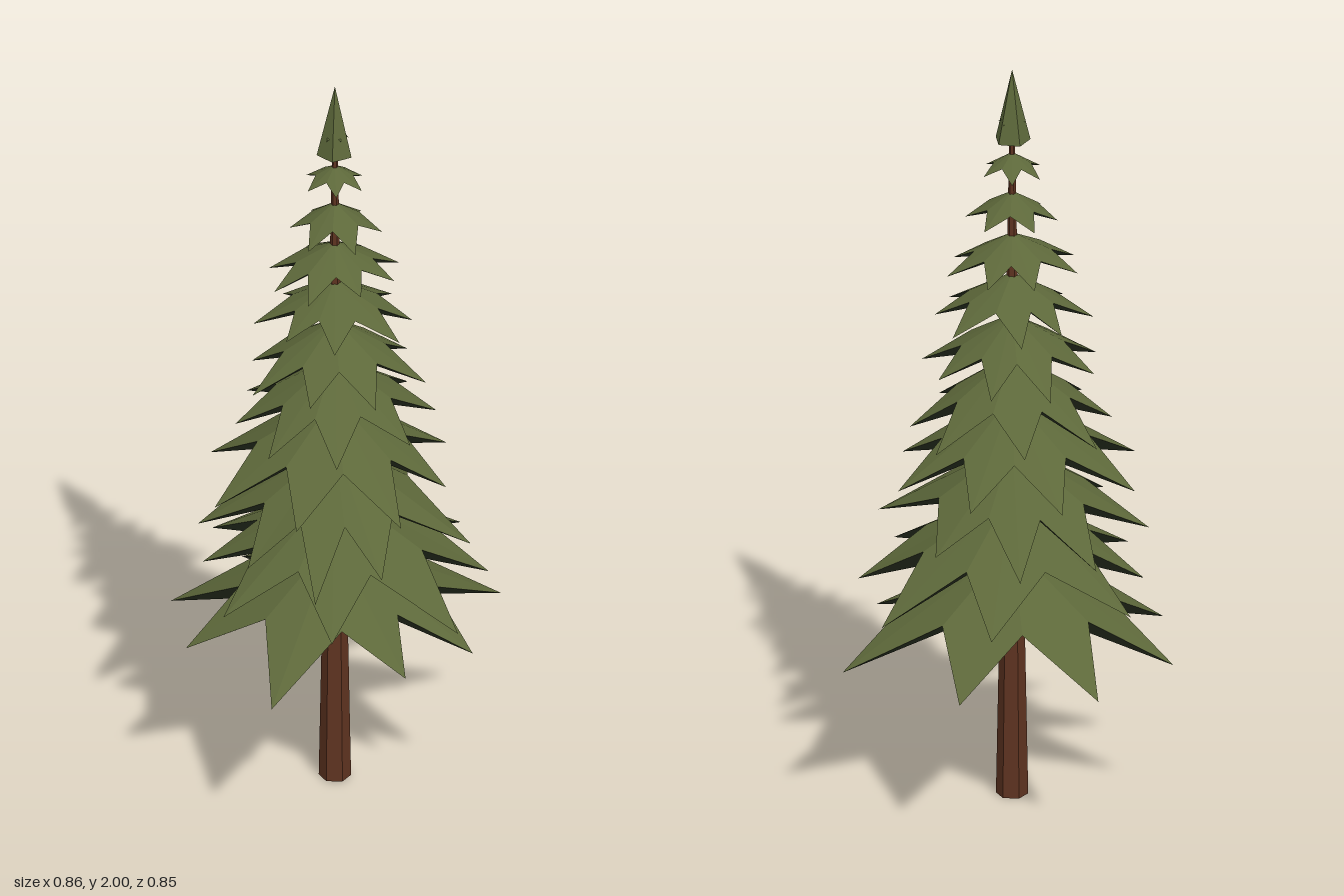
import * as THREE from 'three';

const AXIS = [-0.037, 0.019];

const makeMaterial = (name, color) => {
  const material = new THREE.MeshStandardMaterial({ color, flatShading: true });
  material.name = name;
  return material;
};
const needleGreen = makeMaterial('needleGreen', 0x5d683a);
const shadeGreen = makeMaterial('shadeGreen', 0x2a3222);
const barkBrown = makeMaterial('barkBrown', 0x5e3320);

// Small seeded generator for uneven branch tips
let seed = 11;
const jitter = (amount) => {
  seed = (seed * 16807) % 2147483647;
  return (seed / 2147483647 - 0.5) * 2 * amount;
};

// Tiers from the bottom up: apex height, tip height, tips as [degrees from +x towards +z, reach]
const lowerTiers = [
  { apex: 0.69, tip: 0.43, tips: [[2, 0.468], [53, 0.386], [88, 0.36], [139, 0.444], [189, 0.399], [227, 0.44], [266, 0.446], [313, 0.44]] },
  { apex: 0.84, tip: 0.588, tips: [[27, 0.39], [71, 0.428], [119, 0.38], [167, 0.374], [211, 0.335], [244, 0.385], [303, 0.394], [346, 0.427]] },
  { apex: 0.965, tip: 0.735, tips: [[45, 0.36], [97, 0.335], [125, 0.4], [159, 0.335], [206, 0.347], [258, 0.352], [292, 0.355], [335, 0.304]] },
  { apex: 1.1, tip: 0.885, tips: [[2, 0.315], [48, 0.3], [88, 0.338], [135, 0.33], [178, 0.352], [225, 0.33], [271, 0.31], [316, 0.3]] },
];

// Upper tiers: apex height, tip height, mean reach, number of tips
const upperTiers = [
  [1.215, 1.03, 0.265, 8],
  [1.325, 1.175, 0.228, 8],
  [1.44, 1.32, 0.195, 8],
  [1.55, 1.455, 0.165, 8],
  [1.665, 1.585, 0.122, 6],
  [1.772, 1.718, 0.08, 6],
  [1.885, 1.855, 0.034, 6],
].map(([apex, tip, reach, count], t) => ({
  apex,
  tip,
  tips: Array.from({ length: count }, (_, i) => [
    ((i + ((t + 1) % 2) * 0.5) * 360) / count + jitter(6),
    reach * (1 + jitter(0.1)),
  ]),
}));

// Closed star: green spikes drooping from an apex, with a dark underside
function tierGeometry({ apex, tip, tips }) {
  const drop = apex - tip;
  const meanReach = tips.reduce((sum, [, r]) => sum + r, 0) / tips.length;
  const ring = [];
  const point = (deg, r, y) => {
    const a = THREE.MathUtils.degToRad(deg);
    return [Math.cos(a) * r, y, Math.sin(a) * r];
  };
  tips.forEach(([deg, r], i) => {
    const [nextDeg, nextR] = tips[(i + 1) % tips.length];
    const next = nextDeg < deg ? nextDeg + 360 : nextDeg;
    // Longer spikes hang lower
    ring.push(point(deg, r, tip - (r - meanReach) * 0.38));
    ring.push(point((deg + next) / 2, (r + nextR) * 0.29, apex - drop * 0.555));
  });
  const top = [0, apex, 0];
  const under = [0, apex - drop * 0.64, 0];
  const upper = [];
  const lower = [];
  ring.forEach((p, i) => {
    const q = ring[(i + 1) % ring.length];
    upper.push(...top, ...q, ...p);
    lower.push(...under, ...p, ...q);
  });
  const geometry = new THREE.BufferGeometry();
  geometry.setAttribute('position', new THREE.Float32BufferAttribute([...upper, ...lower], 3));
  geometry.addGroup(0, upper.length / 3, 0);
  geometry.addGroup(upper.length / 3, lower.length / 3, 1);
  geometry.computeVertexNormals();
  return geometry;
}

export function createModel() {
  const tree = new THREE.Group();
  tree.name = 'coniferTree';

  const add = (name, geometry, material, y = 0) => {
    const mesh = new THREE.Mesh(geometry, material);
    mesh.name = name;
    mesh.position.set(AXIS[0], y, AXIS[1]);
    tree.add(mesh);
    return mesh;
  };

  // Tapered trunk running up to the crown
  add('trunk', new THREE.CylinderGeometry(0.007, 0.041, 1.82, 6), barkBrown, 0.91);

  // Branch tiers
  [...lowerTiers, ...upperTiers].forEach((tier, i) => {
    add(`branchTier${i + 1}`, tierGeometry(tier), [needleGreen, shadeGreen]);
  });

  // Five-sided crown with a dark base
  const crown = add('crown', new THREE.ConeGeometry(0.047, 0.195, 5), [needleGreen, needleGreen, shadeGreen], 1.9025);
  crown.rotation.y = Math.PI;

  return tree;
}
